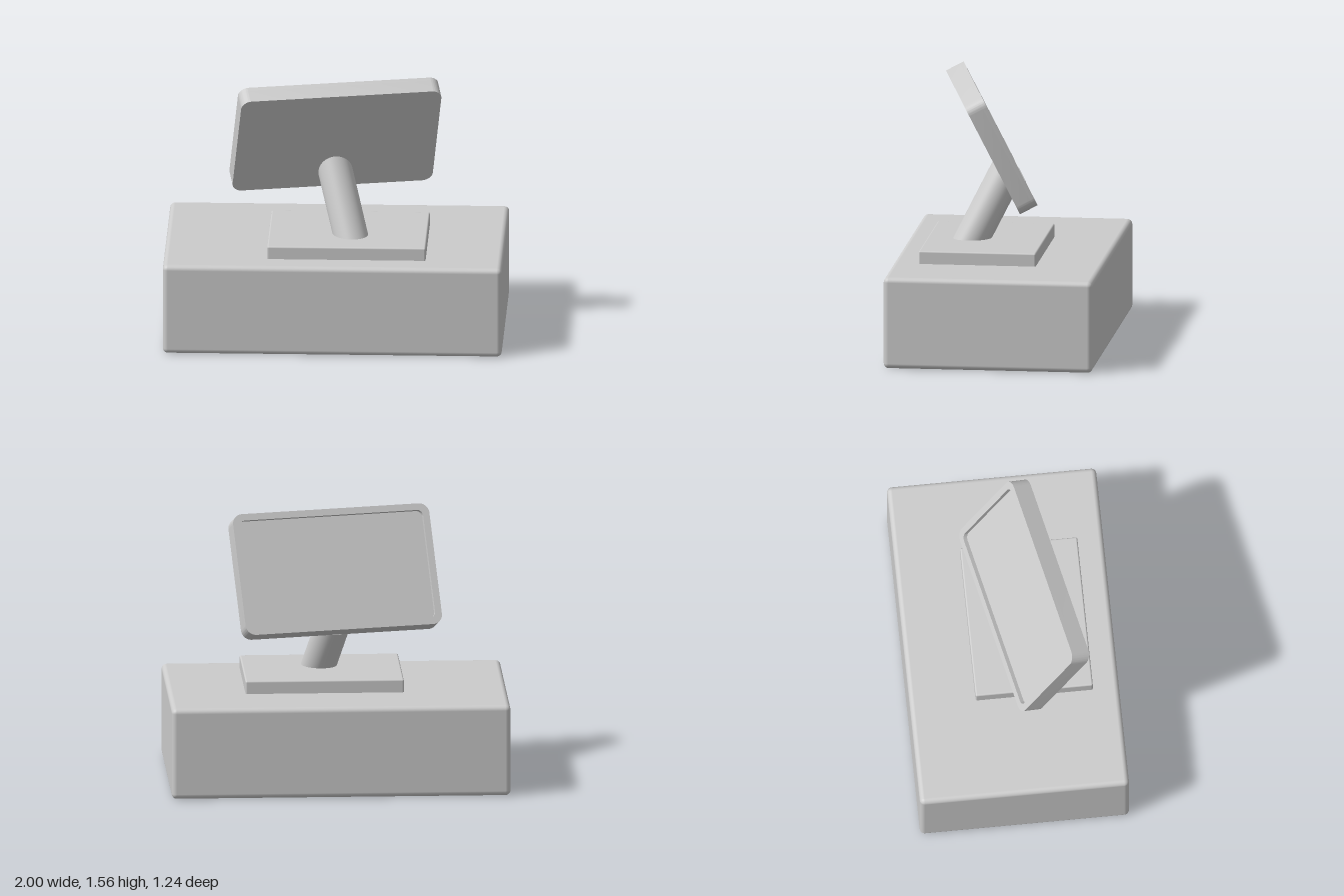
import * as THREE from 'three';
import { RoundedBoxGeometry } from 'three/addons/geometries/RoundedBoxGeometry.js';
import { toCreasedNormals } from 'three/addons/utils/BufferGeometryUtils.js';

const grey = new THREE.MeshStandardMaterial({ color: 0xcccccc });

function part(name, geometry, parent) {
  const mesh = new THREE.Mesh(geometry, grey);
  mesh.name = name;
  parent.add(mesh);
  return mesh;
}

// Rounded rectangle centred on the origin
function roundedRect(w, h, r, Type = THREE.Shape) {
  const s = new Type();
  const x = w / 2 - r, y = h / 2 - r;
  s.absarc(x, y, r, 0, Math.PI / 2);
  s.absarc(-x, y, r, Math.PI / 2, Math.PI);
  s.absarc(-x, -y, r, Math.PI, Math.PI * 1.5);
  s.absarc(x, -y, r, Math.PI * 1.5, Math.PI * 2);
  s.closePath();
  return s;
}

function extrude(shape, depth) {
  const g = new THREE.ExtrudeGeometry(shape, { depth, bevelEnabled: false, curveSegments: 8 });
  return toCreasedNormals(g, 0.6);
}

// Cylinder along start -> end whose ends are cut flush with two planes
function cutCylinder(start, end, radius, startNormal, endNormal) {
  const axis = end.clone().sub(start).normalize();
  const length = start.distanceTo(end);
  const g = new THREE.CylinderGeometry(radius, radius, length, 48, 1);
  const turn = new THREE.Quaternion().setFromUnitVectors(new THREE.Vector3(0, 1, 0), axis);
  g.applyQuaternion(turn);
  g.translate(...start.clone().add(end).multiplyScalar(0.5).toArray());
  const pos = g.attributes.position, p = new THREE.Vector3(), mid = start.clone().lerp(end, 0.5);
  for (let i = 0; i < pos.count; i++) {
    p.fromBufferAttribute(pos, i);
    const top = p.clone().sub(mid).dot(axis) > 0;
    const origin = top ? end : start, n = top ? endNormal : startNormal;
    p.addScaledVector(axis, origin.clone().sub(p).dot(n) / axis.dot(n));
    pos.setXYZ(i, p.x, p.y, p.z);
  }
  return toCreasedNormals(g, 0.6);
}

export function createModel() {
  const model = new THREE.Group();
  model.name = 'displayTerminal';

  // Heavy base and mounting plate
  part('base', new RoundedBoxGeometry(2, 0.545, 1.24, 4, 0.03), model).position.y = 0.2725;
  part('mountingPlate', new RoundedBoxGeometry(0.935, 0.095, 0.695, 3, 0.01), model)
    .position.set(0.078, 0.575, 0.117);

  // Tilted screen, facing the back and upwards
  const W = 1.2, H = 0.736, T = 0.117, recess = 0.025, border = 0.04;
  const screen = new THREE.Group();
  screen.name = 'screen';
  screen.position.set(0, 1.205, 0.096);
  screen.rotation.set(-0.468, Math.PI + 0.218, 0, 'YXZ');
  model.add(screen);
  part('screenBody', extrude(roundedRect(W, H, 0.06), T - recess), screen).position.z = -T / 2;
  const rim = roundedRect(W, H, 0.06);
  rim.holes.push(roundedRect(W - 2 * border, H - 2 * border, 0.035, THREE.Path));
  part('screenRim', extrude(rim, recess), screen).position.z = T / 2 - recess;

  // Slanted neck, from the plate to the housing's rear face
  const up = new THREE.Vector3(0, 1, 0);
  const facing = new THREE.Vector3(0, 0, 1).applyEuler(screen.rotation);
  const start = new THREE.Vector3(0.092, 0.62, 0.2);
  const dir = new THREE.Vector3(-0.28, 1, -0.5);
  const face = screen.position.clone().addScaledVector(facing, -T / 2 + 0.004);
  const reach = face.sub(start).dot(facing) / dir.dot(facing);
  const end = start.clone().addScaledVector(dir, reach);
  part('neck', cutCylinder(start, end, 0.102, up, facing), model);

  return model;
}
